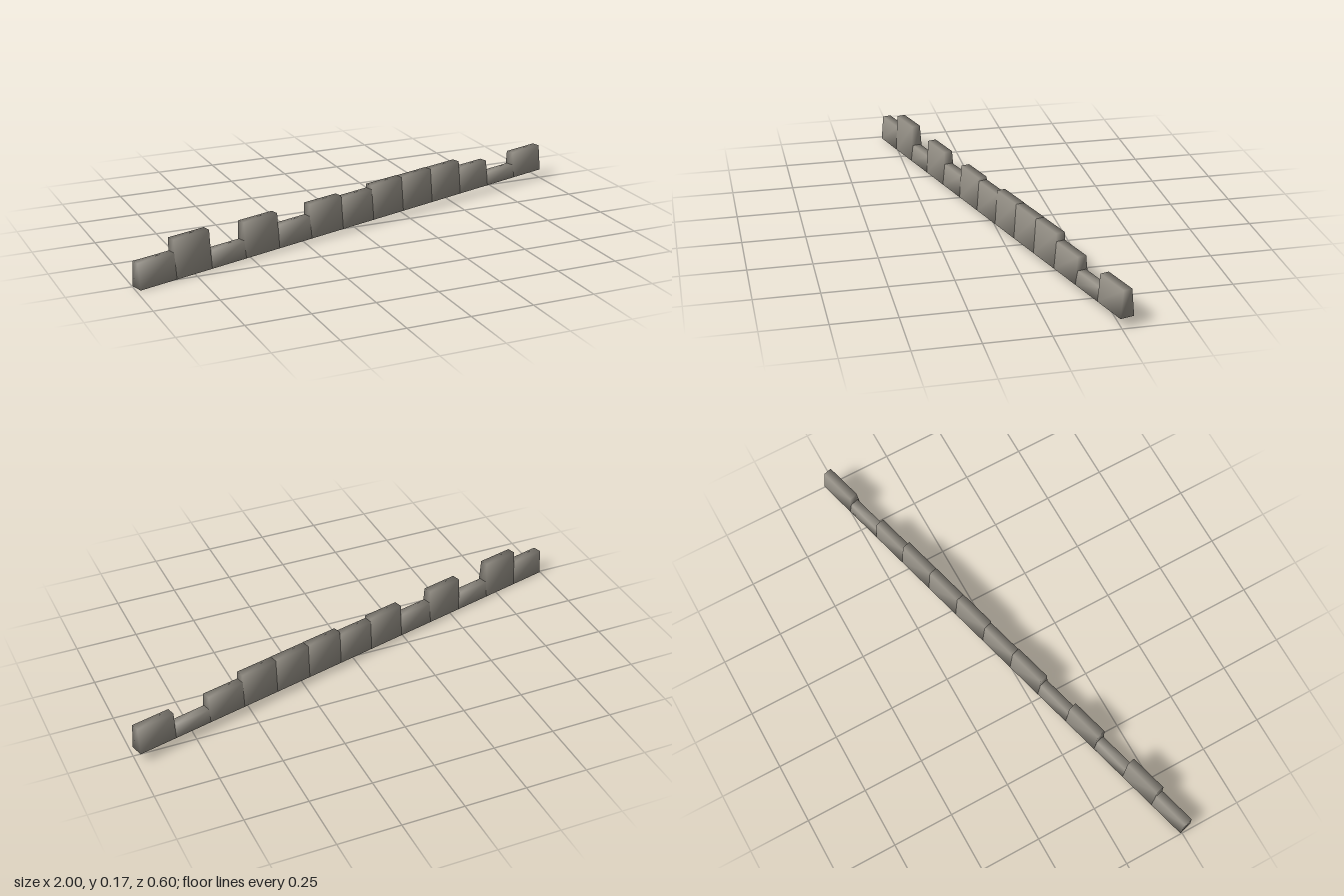
import * as THREE from 'three';
import { mergeVertices } from 'three/addons/utils/BufferGeometryUtils.js';

const LENGTH = 0.158;      // block length along the wall
const BASE_WIDTH = 0.056;
const TOP_WIDTH = 0.035;
const HEIGHTS = [0.102, 0.154, 0.068, 0.142, 0.089, 0.138, 0.126,
  0.142, 0.141, 0.14, 0.108, 0.053, 0.108];

// Tapered block whose eight corners share softened normals
function blockGeometry(height) {
  const box = new THREE.BoxGeometry(LENGTH, height, BASE_WIDTH);
  box.deleteAttribute('normal');
  box.deleteAttribute('uv');
  const geo = mergeVertices(box);
  const p = geo.attributes.position;
  for (let i = 0; i < p.count; i++) {
    if (p.getY(i) > 0) p.setZ(i, Math.sign(p.getZ(i)) * TOP_WIDTH / 2);
  }
  geo.translate(0, height / 2, 0);
  geo.computeVertexNormals();
  return geo;
}

export function createModel() {
  const model = new THREE.Group();
  model.name = 'ruinedWall';
  const stone = new THREE.MeshStandardMaterial({ color: 0x99948a });
  stone.name = 'stone';

  // Uneven row of abutting blocks on a gentle slope
  const row = new THREE.Group();
  row.name = 'blockRow';
  const middle = (HEIGHTS.length - 1) / 2;
  HEIGHTS.forEach((height, i) => {
    const block = new THREE.Mesh(blockGeometry(height), stone);
    block.name = `wallBlock${i + 1}`;
    block.position.x = (i - middle) * LENGTH;
    row.add(block);
  });
  row.rotation.set(0, 0.267, 0.0188);
  row.rotation.order = 'YXZ';
  row.position.y = 0.0193;
  model.add(row);
  return model;
}
